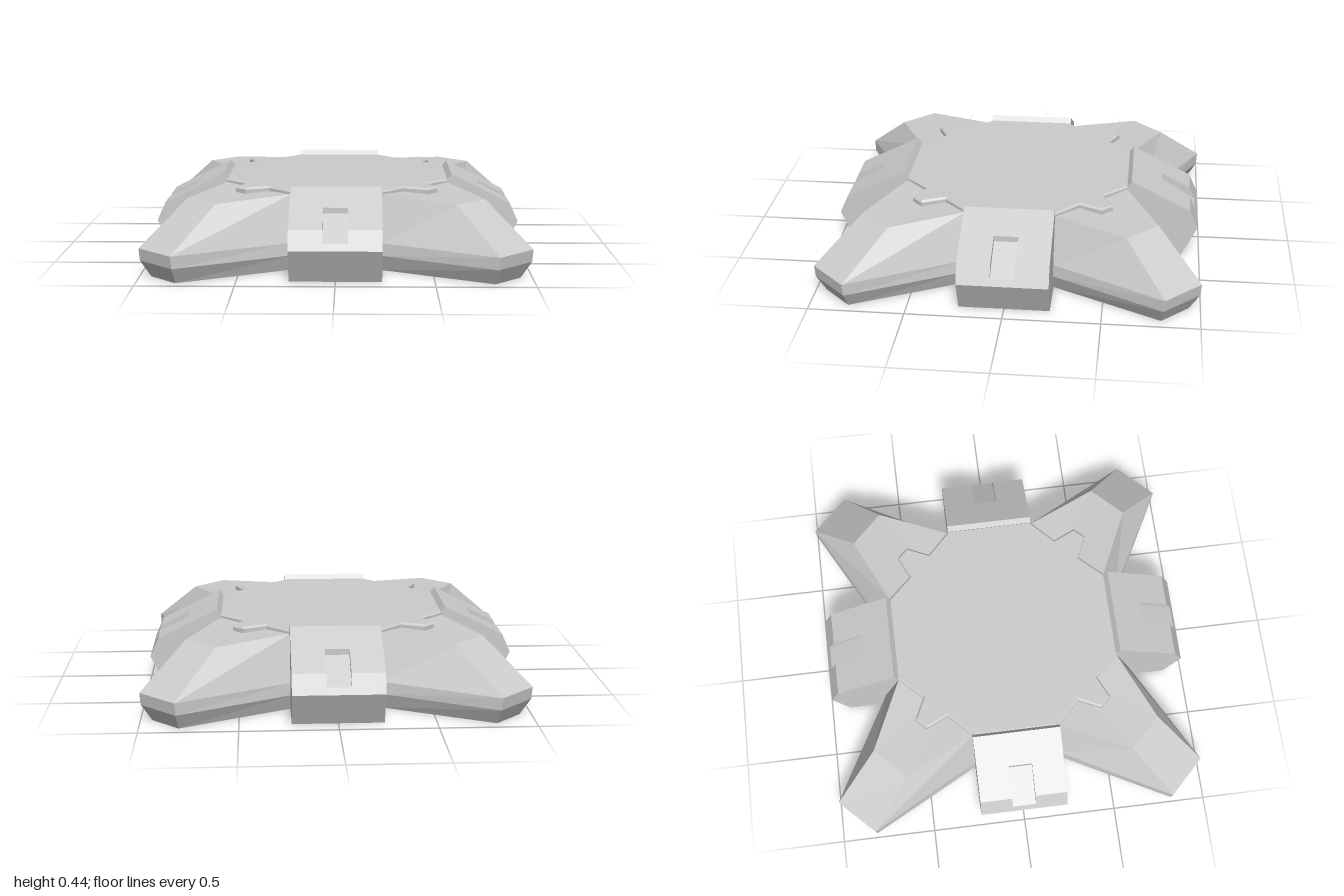
import * as THREE from 'three';

const material = new THREE.MeshStandardMaterial({ color: 0xcccccc, flatShading: true, side: THREE.DoubleSide });

function part(name, geometry) {
  const mesh = new THREE.Mesh(geometry, material);
  mesh.name = name;
  return mesh;
}

const shapeOf = (points) => new THREE.Shape(points.map(([x, y]) => new THREE.Vector2(x, y)));

// Repeats one corner's outline points around the four quarters
function fourfold(points) {
  const out = [];
  for (let q = 0; q < 4; q++) {
    const c = [1, 0, -1, 0][q], s = [0, 1, 0, -1][q];
    for (const [x, y] of points) out.push([x * c - y * s, x * s + y * c]);
  }
  return out;
}

// Upright prism between two heights
function prism(points, y0, y1, bevel = 0) {
  const g = new THREE.ExtrudeGeometry(shapeOf(points), {
    depth: y1 - y0 - 2 * bevel, bevelEnabled: bevel > 0,
    bevelSize: bevel, bevelOffset: -bevel, bevelThickness: bevel, bevelSegments: 1,
  });
  return g.rotateX(-Math.PI / 2).translate(0, y0 + bevel, 0);
}

// Skin over stacked rings, closed at both ends
function loft(rings) {
  const n = rings[0].length, index = [];
  for (let r = 0; r < rings.length - 1; r++) {
    for (let i = 0; i < n; i++) {
      const a = r * n + i, b = r * n + (i + 1) % n;
      index.push(a, b, b + n, a, b + n, a + n);
    }
  }
  const top = (rings.length - 1) * n;
  for (let i = 1; i < n - 1; i++) {
    index.push(0, i + 1, i);
    // the top fans from the inner corner so it stays symmetric
    index.push(top + n - 1, top + i - 1, top + i);
  }
  const g = new THREE.BufferGeometry();
  g.setAttribute('position', new THREE.Float32BufferAttribute(rings.flat(2), 3));
  g.setIndex(index);
  const flat = g.toNonIndexed();
  flat.computeVertexNormals();
  return flat;
}

// Arm section, mirrored across the diagonal: root point, tip point, inner corner
function armRing([rx, rz, ry], [tx, tz, ty]) {
  return [[rx, ry, rz], [tx, ty, tz], [tz, ty, tx], [rz, ry, rx], [0.23, ry, 0.23]];
}

const armGeometry = loft([
  armRing([0.235, 0.65, 0], [0.80, 0.94, 0]),
  armRing([0.235, 0.69, 0.085], [0.81, 0.995, 0.085]),
  armRing([0.235, 0.685, 0.15], [0.815, 1.0, 0.15]),
  armRing([0.235, 0.597, 0.39], [0.61, 0.77, 0.37]),
]);

// Side block profiles (distance from centre, height); the middle one is grooved
const inner = [[0.45, 0], [0.9, 0], [0.985, 0.175]];
const crest = [[0.62, 0.435], [0.597, 0.405], [0.45, 0.38]];
const fullProfile = [...inner, [0.94, 0.275], ...crest];
const groovedProfile = [...inner, [0.969, 0.21], [0.78, 0.325], [0.78, 0.355], ...crest];

function slab(profile, z0, z1) {
  return new THREE.ExtrudeGeometry(shapeOf(profile), { depth: z1 - z0, bevelEnabled: false }).translate(0, 0, z0);
}

function sideBlock() {
  const g = new THREE.Group();
  g.name = 'sideBlock';
  g.add(part('blockCheek', slab(fullProfile, -0.235, -0.063)));
  g.add(part('blockGroove', slab(groovedProfile, -0.063, 0.063)));
  g.add(part('blockCheek', slab(fullProfile, 0.063, 0.235)));
  return g;
}

export function createModel() {
  const model = new THREE.Group();
  model.name = 'platform';

  // Octagonal core and the deck plate with a tab over each arm
  model.add(part('core', prism(fourfold([[0.6, 0.235], [0.235, 0.6]]), 0, 0.36)));
  const deckCorner = [[0.605, 0.232], [0.475, 0.355], [0.53, 0.475], [0.475, 0.53], [0.355, 0.475], [0.232, 0.605]];
  model.add(part('deck', prism(fourfold(deckCorner), 0.3, 0.41, 0.01)));

  // Four diagonal arms and four side blocks
  for (let i = 0; i < 4; i++) {
    const arm = part('diagonalArm', armGeometry);
    const block = sideBlock();
    arm.rotation.y = block.rotation.y = i * Math.PI / 2;
    model.add(arm, block);
  }
  return model;
}
